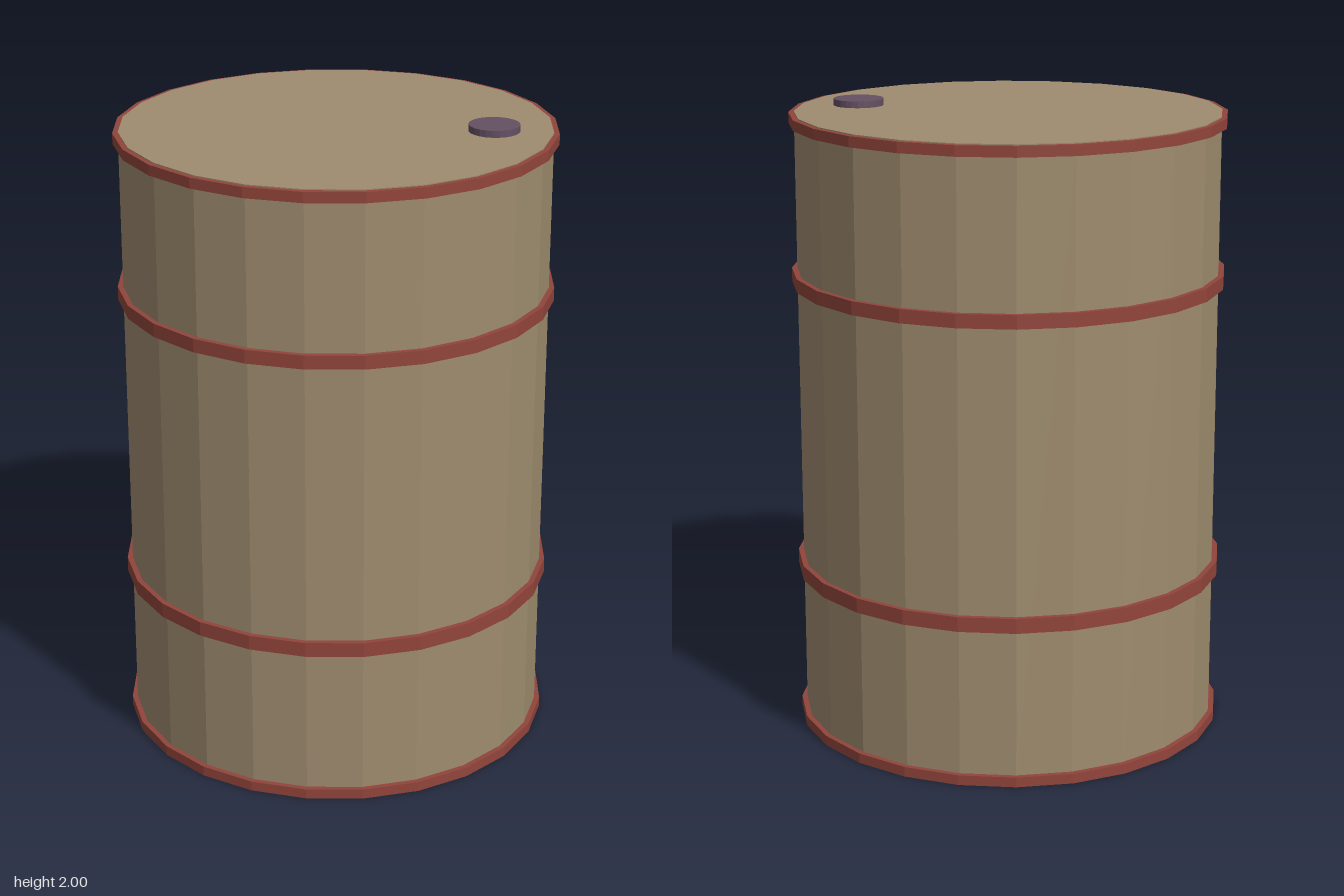
import * as THREE from 'three';

const SIDES = 24;

function makeMaterial(name, color) {
  const material = new THREE.MeshStandardMaterial({ color, flatShading: true });
  material.name = name;
  return material;
}

export function createModel() {
  const tan = makeMaterial('tan paint', 0x9f8c6f);
  const red = makeMaterial('rust red', 0x92453b);
  const purple = makeMaterial('dull purple', 0x645062);

  const drum = new THREE.Group();
  drum.name = 'drum';

  // Upright cylinder between two heights
  function addDisc(name, material, radius, bottom, top, x = 0) {
    const geometry = new THREE.CylinderGeometry(radius, radius, top - bottom, SIDES);
    const mesh = new THREE.Mesh(geometry, material);
    mesh.name = name;
    mesh.position.set(x, (bottom + top) / 2, 0);
    drum.add(mesh);
  }

  // Body, whose top face is the lid
  addDisc('body', tan, 0.668, 0.01, 1.979);

  // Raised hoops, from the base to the rim
  const hoops = [
    ['baseHoop', 0, 0.032],
    ['lowerHoop', 0.5, 0.547],
    ['upperHoop', 1.44, 1.483],
    ['rimHoop', 1.943, 1.976],
  ];
  for (const [name, bottom, top] of hoops) addDisc(name, red, 0.685, bottom, top);

  // Filler cap on the lid
  addDisc('fillerCap', purple, 0.079, 1.96, 2, 0.486);

  return drum;
}
